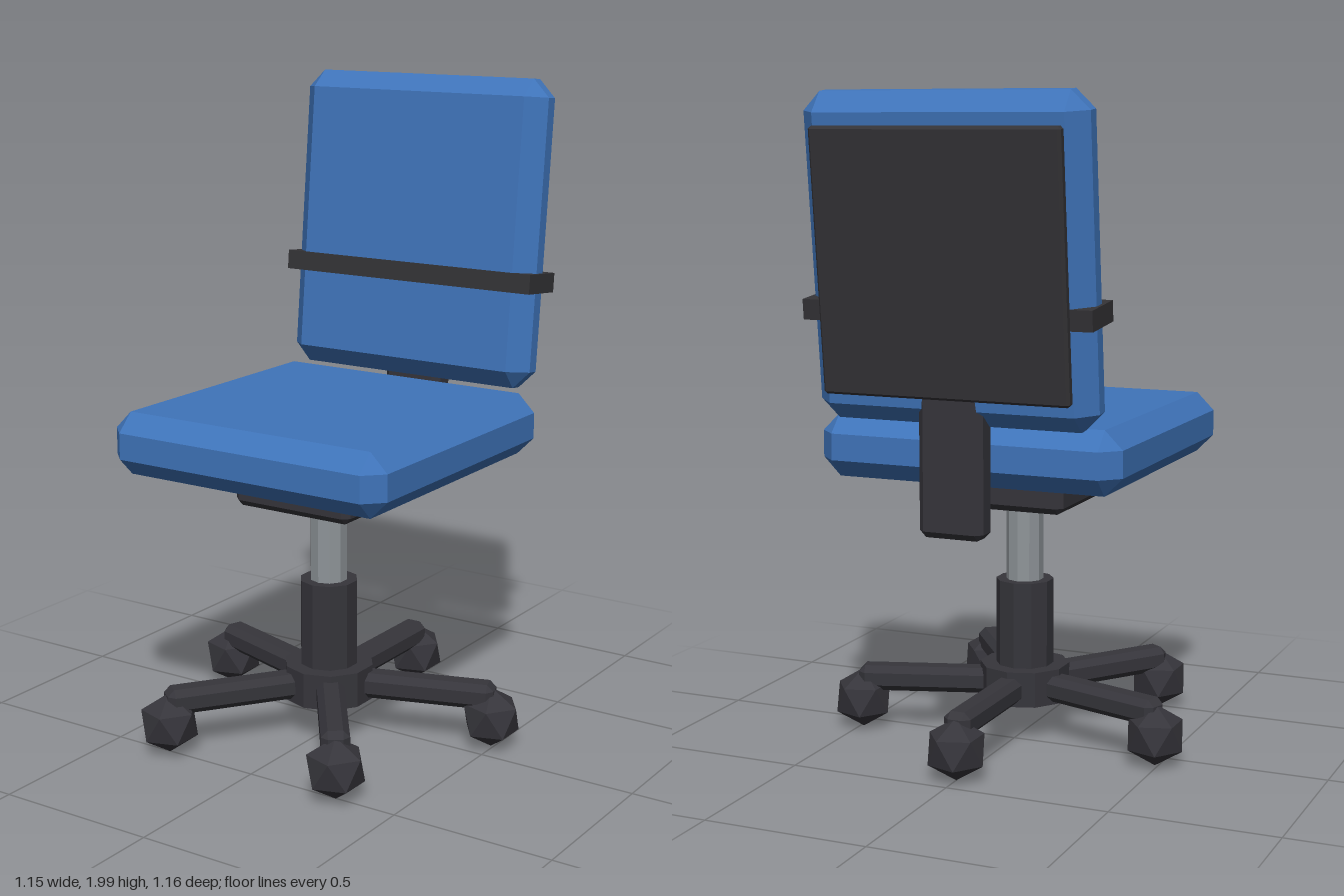
import * as THREE from 'three';
import { ConvexGeometry } from 'three/addons/geometries/ConvexGeometry.js';

const material = (name, color) => {
  const m = new THREE.MeshStandardMaterial({ color, flatShading: true });
  m.name = name;
  return m;
};

// Box with every edge and corner cut off by the given bevel
function chamferBox(w, h, d, bevel) {
  const points = [];
  for (const x of [-1, 1]) for (const y of [-1, 1]) for (const z of [-1, 1]) {
    for (let full = 0; full < 3; full++) {
      const half = [w / 2, h / 2, d / 2].map((v, i) => (i === full ? v : v - bevel));
      points.push(new THREE.Vector3(x * half[0], y * half[1], z * half[2]));
    }
  }
  return new ConvexGeometry(points);
}

export function createModel() {
  const blue = material('blue fabric', 0x3f74ba);
  const charcoal = material('charcoal plastic', 0x36353b);
  const black = material('black trim', 0x343336);
  const steel = material('steel', 0x8f9599);

  const model = new THREE.Group();
  model.name = 'officeChair';
  const add = (parent, name, geometry, mat, x = 0, y = 0, z = 0) => {
    const mesh = new THREE.Mesh(geometry, mat);
    mesh.name = name;
    mesh.position.set(x, y, z);
    parent.add(mesh);
    return mesh;
  };
  const axisZ = 0.085; // column axis

  // Seat and its mounting plate
  add(model, 'seat', chamferBox(0.95, 0.19, 0.95, 0.055), blue, 0, 0.96, axisZ);
  add(model, 'seatPlate', chamferBox(0.41, 0.115, 0.42, 0.02), charcoal, 0, 0.808, axisZ);

  // Central column
  const column = (name, r, y0, y1, mat) =>
    add(model, name, new THREE.CylinderGeometry(r, r, y1 - y0, 10), mat, 0, (y0 + y1) / 2, axisZ);
  column('gasLift', 0.058, 0.45, 0.77, steel);
  column('columnSleeve', 0.09, 0.13, 0.5, charcoal);
  column('hub', 0.14, 0.12, 0.23, charcoal);

  // Five-star base with casters
  const armLength = 0.525;
  const armGeometry = chamferBox(0.085, 0.08, armLength, 0.02);
  armGeometry.translate(0, 0, armLength / 2);
  const casterGeometry = new THREE.IcosahedronGeometry(0.095, 0);
  casterGeometry.rotateX(-Math.atan((1 + Math.sqrt(5)) / 2)); // stand on one corner
  casterGeometry.rotateY(Math.PI / 2);
  for (let i = 0; i < 5; i++) {
    const angle = Math.PI + (i * Math.PI * 2) / 5;
    add(model, 'baseArm', armGeometry, charcoal, 0, 0.17, axisZ).rotation.y = angle;
    add(model, 'caster', casterGeometry, charcoal,
      Math.sin(angle) * 0.515, 0.1, axisZ + Math.cos(angle) * 0.515);
  }

  // Upright carrying the backrest
  add(model, 'backPost', chamferBox(0.2, 0.43, 0.09, 0.02), charcoal, 0, 0.945, -0.429);

  // Reclined backrest with rear panel and band
  const back = new THREE.Group();
  back.name = 'backrest';
  back.position.set(0, 1.527, -0.436);
  back.rotation.x = -0.1;
  model.add(back);
  add(back, 'backCushion', chamferBox(0.87, 0.945, 0.15, 0.055), blue);
  add(back, 'backPanel', chamferBox(0.76, 0.765, 0.034, 0.008), black, 0, 0, -0.091);
  add(back, 'backBand', new THREE.BoxGeometry(0.89, 0.06, 0.159), black, 0, -0.143, 0);

  return model;
}
